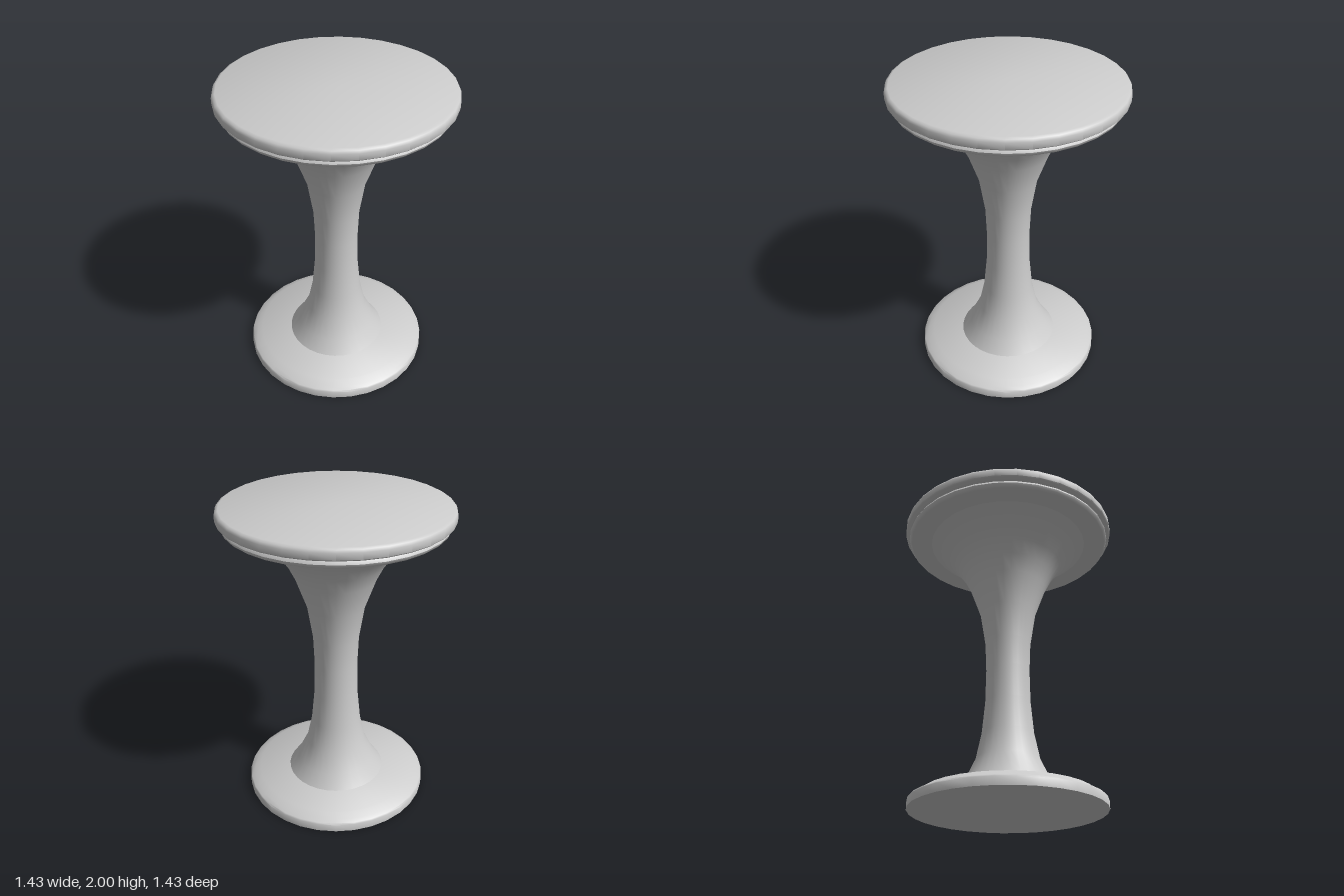
import * as THREE from 'three';
import { toCreasedNormals } from 'three/addons/utils/BufferGeometryUtils.js';

const SIDES = 32;

export function createModel() {
  const group = new THREE.Group();
  group.name = 'pedestalTable';
  const grey = new THREE.MeshStandardMaterial({ color: 0xcccccc });
  grey.name = 'light grey';

  // Turns a [radius, height] profile, listed from bottom to top
  function turned(name, profile, crease) {
    const points = profile.map(([r, y]) => new THREE.Vector2(r, y));
    const geometry = new THREE.LatheGeometry(points, SIDES);
    const mesh = new THREE.Mesh(crease ? toCreasedNormals(geometry, crease) : geometry, grey);
    mesh.name = name;
    group.add(mesh);
  }

  // Round foot with a bevelled upper edge
  turned('base', [
    [0, 0], [0.607, 0], [0.607, 0.05], [0.6, 0.06], [0.573, 0.068], [0.535, 0.1], [0, 0.1],
  ], 0.8);

  // Waisted column flaring at both ends
  turned('column', [
    [0.325, 0.1], [0.265, 0.186], [0.2, 0.324], [0.165, 0.49], [0.145, 0.7],
    [0.141, 0.92], [0.149, 1.115], [0.185, 1.34], [0.255, 1.535], [0.305, 1.635],
    [0.36, 1.715], [0.43, 1.79], [0.535, 1.876],
  ]);

  // Rounded moulding under the top
  turned('moulding', [
    [0, 1.875], [0.672, 1.875], [0.684, 1.885], [0.69, 1.9], [0.682, 1.917], [0.665, 1.931], [0, 1.931],
  ], 0.8);

  // Table top with softened rim
  turned('tableTop', [
    [0, 1.929], [0.707, 1.929], [0.716, 1.937], [0.716, 1.976], [0.709, 1.992], [0.693, 2], [0, 2],
  ], 0.85);

  return group;
}
